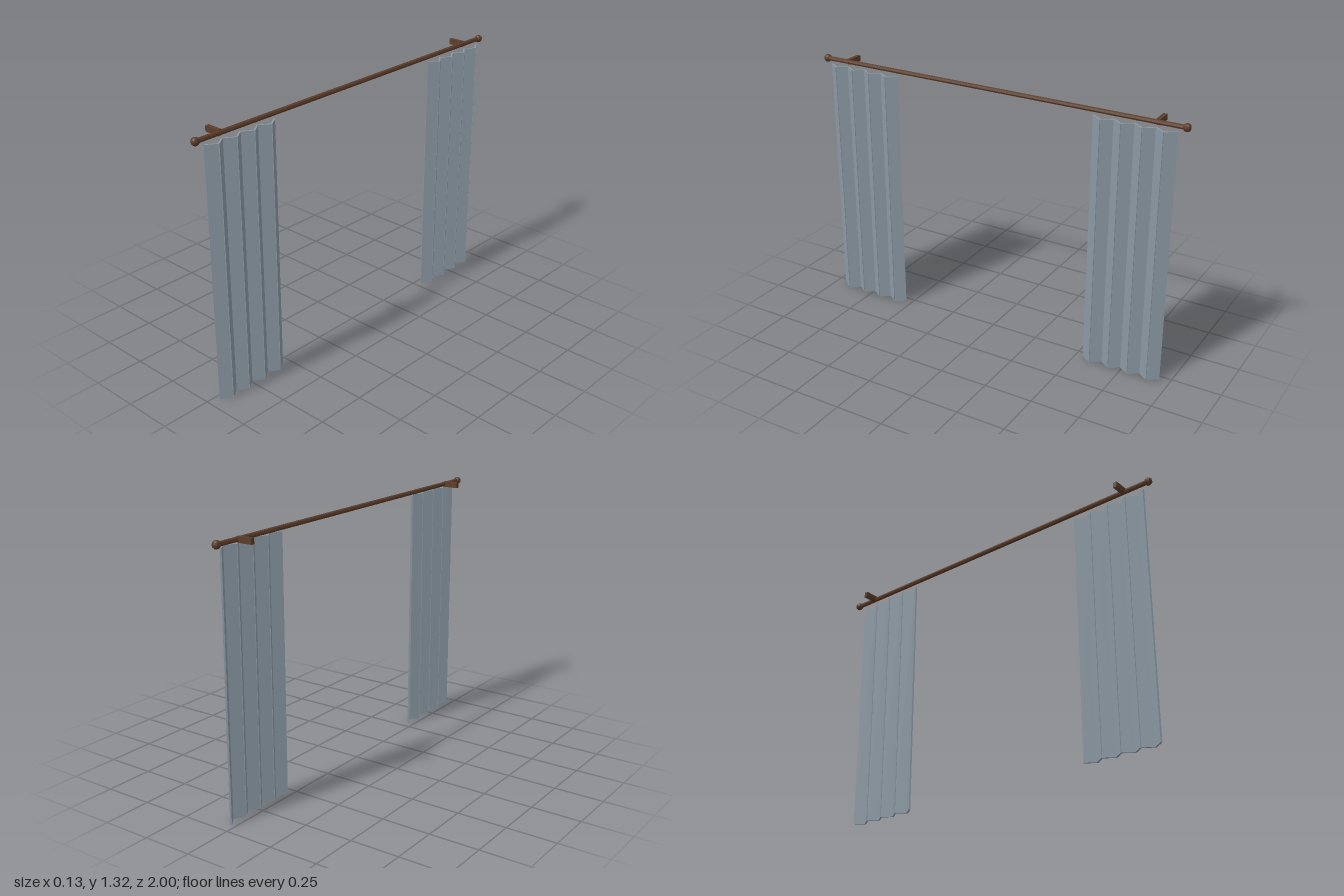
import * as THREE from 'three';

const ROD_X = 0.014, ROD_Y = 1.3;

export function createModel() {
  const model = new THREE.Group();
  model.name = 'curtainSet';

  const wood = new THREE.MeshStandardMaterial({ color: 0x5c3d2a, flatShading: true });
  wood.name = 'dark wood';
  const cloth = new THREE.MeshStandardMaterial({ color: 0x8c9aa5, flatShading: true });
  cloth.name = 'blue grey cloth';

  const add = (parent, name, geometry, material, x, y, z) => {
    const mesh = new THREE.Mesh(geometry, material);
    mesh.name = name;
    mesh.position.set(x, y, z);
    parent.add(mesh);
    return mesh;
  };

  // Rod running along z
  const rod = new THREE.CylinderGeometry(0.012, 0.012, 1.96, 8).rotateX(Math.PI / 2);
  add(model, 'rod', rod, wood, ROD_X, ROD_Y, 0);

  // Pleated panel: thin slats turned alternately to form a zigzag
  const slats = 8, pitch = 0.0508, height = 1.278, thickness = 0.008;
  const depth = 0.036;
  const slat = new THREE.BoxGeometry(thickness, height, Math.hypot(pitch, depth));
  const angle = Math.atan2(depth, pitch);

  for (const side of [-1, 1]) {
    const end = side > 0 ? 'front' : 'back';
    add(model, end + 'Finial', new THREE.SphereGeometry(0.02, 8, 6), wood, ROD_X, ROD_Y, side * 0.98);

    // Wall bracket reaching back from the rod
    add(model, end + 'Bracket', new THREE.BoxGeometry(0.081, 0.028, 0.02), wood,
      -0.0265, ROD_Y, side * 0.845);

    const panel = new THREE.Group();
    panel.name = end + 'Curtain';
    panel.position.set(0.0425, height / 2, side * 0.741);
    for (let i = 0; i < slats; i++) {
      const mesh = add(panel, 'pleat', slat, cloth, 0, 0, (i - (slats - 1) / 2) * pitch);
      mesh.rotation.y = i % 2 ? -angle : angle;
    }
    model.add(panel);
  }
  return model;
}
